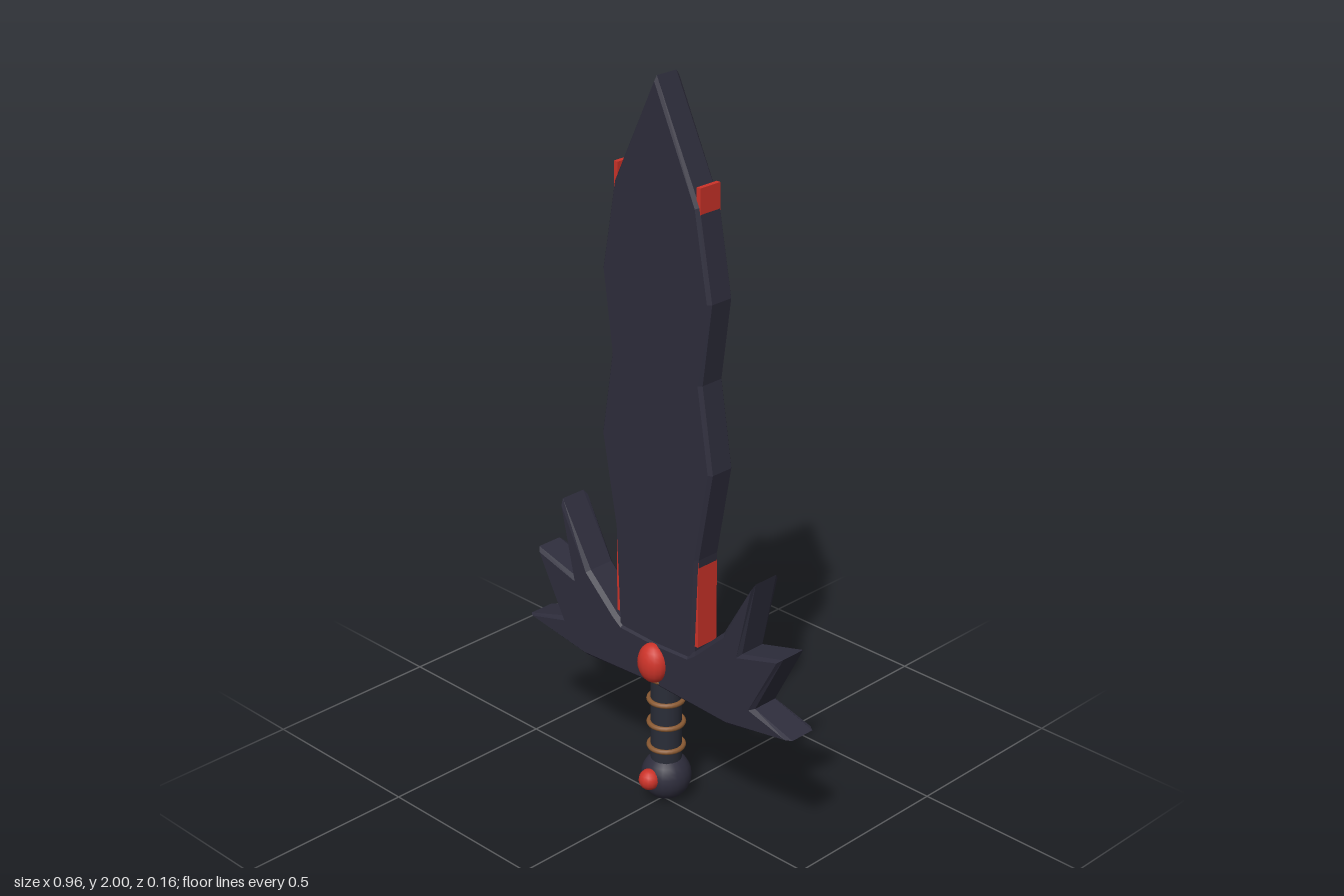
import * as THREE from 'three';

const MID_Z = -0.0125; // centre plane of the flat parts

// Chamfered plate from the right half of a symmetric outline (bottom centre to top centre)
function plate(half, halfDepth, bevel) {
  const left = half.filter(([x]) => x > 0).reverse().map(([x, y]) => [-x, y]);
  const shape = new THREE.Shape([...half, ...left].map(([x, y]) => new THREE.Vector2(x, y)));
  const depth = 2 * (halfDepth - bevel);
  const geo = new THREE.ExtrudeGeometry(shape, {
    depth, bevelEnabled: true, bevelThickness: bevel, bevelSize: bevel,
    bevelOffset: -bevel, bevelSegments: 1,
  });
  return geo.translate(0, 0, MID_Z - depth / 2);
}

export function createModel() {
  const model = new THREE.Group();
  model.name = 'sword';

  const material = (name, color) => {
    const m = new THREE.MeshStandardMaterial({ color });
    m.name = name;
    return m;
  };
  const darkSteel = material('dark steel', 0x2e2d3c);
  const grip = material('grip', 0x2a2d38);
  const red = material('red', 0xcc3329);
  const bronze = material('bronze', 0x8a5a33);

  const add = (name, geometry, mat, x = 0, y = 0, z = 0) => {
    const mesh = new THREE.Mesh(geometry, mat);
    mesh.name = name;
    mesh.position.set(x, y, z);
    model.add(mesh);
    return mesh;
  };

  // Wavy blade
  add('blade', plate([
    [0, 0.44], [0.135, 0.44], [0.137, 0.52], [0.148, 0.77], [0.194, 1.02],
    [0.157, 1.25], [0.187, 1.47], [0.144, 1.705], [0, 2.0],
  ], 0.042, 0.009), darkSteel);

  // Winged guard
  add('guard', plate([
    [0, 0.355], [0.26, 0.343], [0.48, 0.386], [0.352, 0.426], [0.443, 0.602],
    [0.305, 0.565], [0.347, 0.777], [0.243, 0.603], [0.143, 0.51], [0.118, 0.492], [0, 0.487],
  ], 0.048, 0.011), darkSteel);

  // Red inlays that surface where the blade narrows
  for (const side of [1, -1]) {
    add('edgeInlay', new THREE.BoxGeometry(0.013, 1.235, 0.068), red, side * 0.1405, 1.1375, MID_Z);
  }

  // Handle with wire rings
  add('handle', new THREE.CylinderGeometry(0.042, 0.042, 0.28, 16), grip, 0, 0.25, MID_Z);
  for (let i = 0; i < 4; i++) {
    const ring = add('handleRing', new THREE.TorusGeometry(0.046, 0.007, 8, 24), bronze,
      0, 0.16 + i * 0.07, MID_Z);
    ring.rotation.x = Math.PI / 2;
  }

  // Pommel and gems
  add('pommel', new THREE.SphereGeometry(0.068, 20, 14), darkSteel, 0, 0.068, MID_Z);
  add('pommelGem', new THREE.SphereGeometry(0.029, 14, 10), red, 0, 0.077, 0.051);
  const gem = add('guardGem', new THREE.SphereGeometry(1, 16, 12), red, 0, 0.425, 0.036);
  gem.scale.set(0.045, 0.056, 0.038);

  return model;
}
